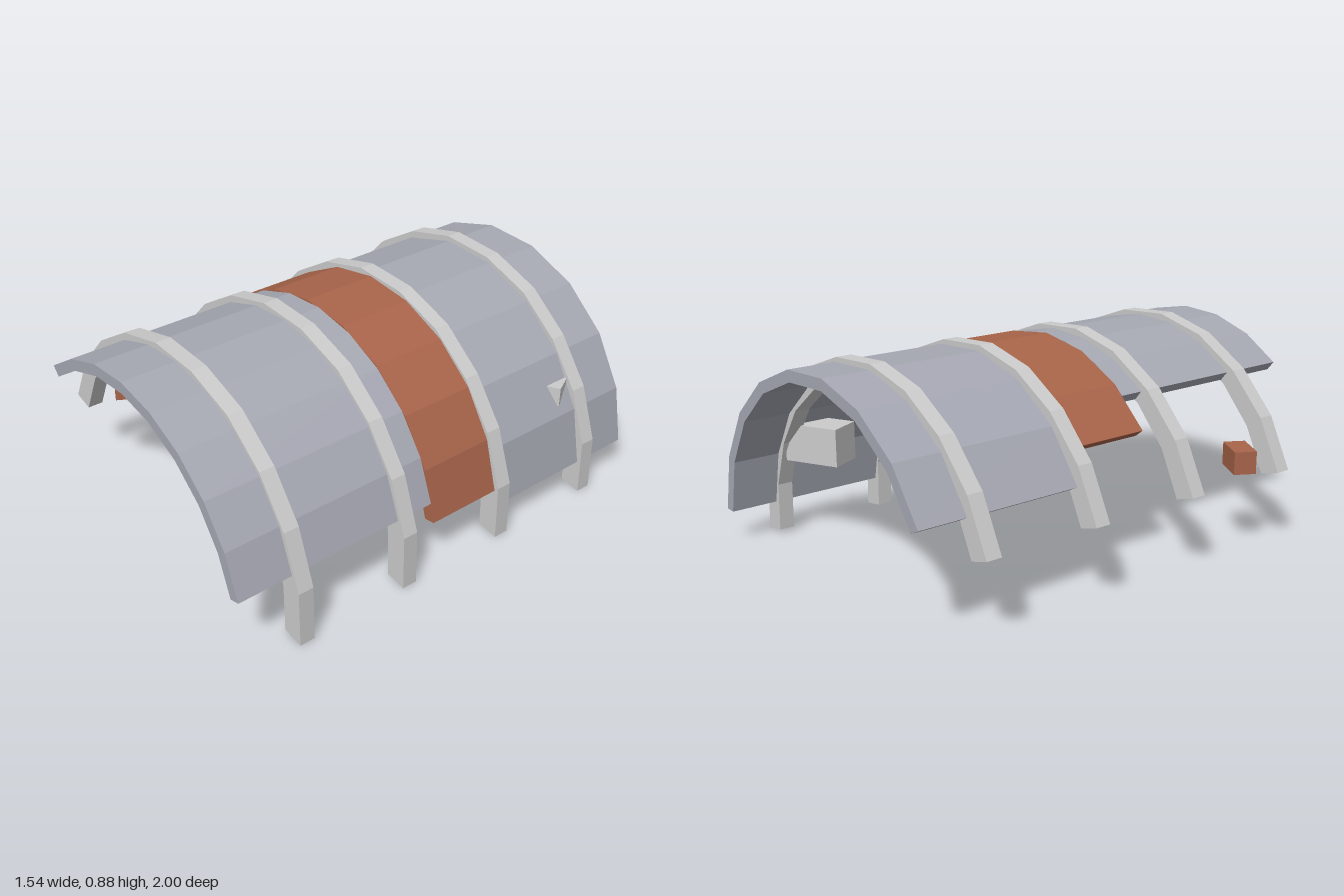
import * as THREE from 'three';

const mat = (color) => new THREE.MeshStandardMaterial({ color, flatShading: true });
const grey = mat(0xcccccc), steel = mat(0xa6a8b3), rust = mat(0xa9654a);

// Extrude a closed outline in the xy plane from z0 to z1
function slab(name, points, z0, z1, material) {
  const shape = new THREE.Shape(points.map(([x, y]) => new THREE.Vector2(x, y)));
  const geometry = new THREE.ExtrudeGeometry(shape, { depth: z1 - z0, bevelEnabled: false });
  const mesh = new THREE.Mesh(geometry, material);
  mesh.name = name;
  mesh.position.z = z0;
  return mesh;
}

// Faceted curved roof sheet between two angles in degrees
function roofSheet(name, from, to, z0, z1, material, outerR = 0.75) {
  const steps = 8, outer = [], inner = [];
  for (let i = 0; i <= steps; i++) {
    const a = THREE.MathUtils.degToRad(from + (to - from) * i / steps);
    const at = (r) => [r * Math.cos(a), 0.117 + r * Math.sin(a)];
    outer.push(at(outerR));
    inner.unshift(at(outerR - 0.048));
  }
  return slab(name, [...outer, ...inner], z0, z1, material);
}

function block(name, size, position, yaw, material) {
  const mesh = new THREE.Mesh(new THREE.BoxGeometry(...size), material);
  mesh.name = name;
  mesh.position.set(...position);
  mesh.rotation.y = yaw;
  return mesh;
}

export function createModel() {
  const group = new THREE.Group();
  group.name = 'ruinedTunnel';

  // Four arched ribs, longer on the left leg than the broken right one
  const ribOuter = [[0.77, 0], [0.765, 0.235], [0.685, 0.46], [0.55, 0.645], [0.37, 0.79], [0.15, 0.87],
    [-0.085, 0.885], [-0.31, 0.83], [-0.51, 0.71], [-0.67, 0.54], [-0.775, 0.33]];
  const ribInner = [[-0.69, 0.305], [-0.60, 0.49], [-0.46, 0.645], [-0.28, 0.745], [-0.08, 0.797],
    [0.13, 0.785], [0.325, 0.71], [0.49, 0.585], [0.605, 0.42], [0.675, 0.22], [0.68, 0.015]];
  for (const z of [0.735, 0.235, -0.265, -0.765]) {
    group.add(slab('rib', [...ribOuter, ...ribInner], z - 0.033, z + 0.033, grey));
  }

  // Roof sheets
  group.add(roofSheet('frontSheet', 14, 129.5, 0.1, 1, steel));
  group.add(roofSheet('rustySheet', 7.7, 142, -0.265, 0.1, rust, 0.754));
  group.add(roofSheet('backSheet', 1.7, 153, -1, -0.265, steel));

  // Loose debris
  group.add(block('greyDebris', [0.246, 0.16, 0.145], [0.543, 0.42, -0.66], 0.464, grey));
  group.add(block('rustyDebris', [0.153, 0.095, 0.092], [-0.658, 0.388, 0.597], -0.53, rust));
  return group;
}
